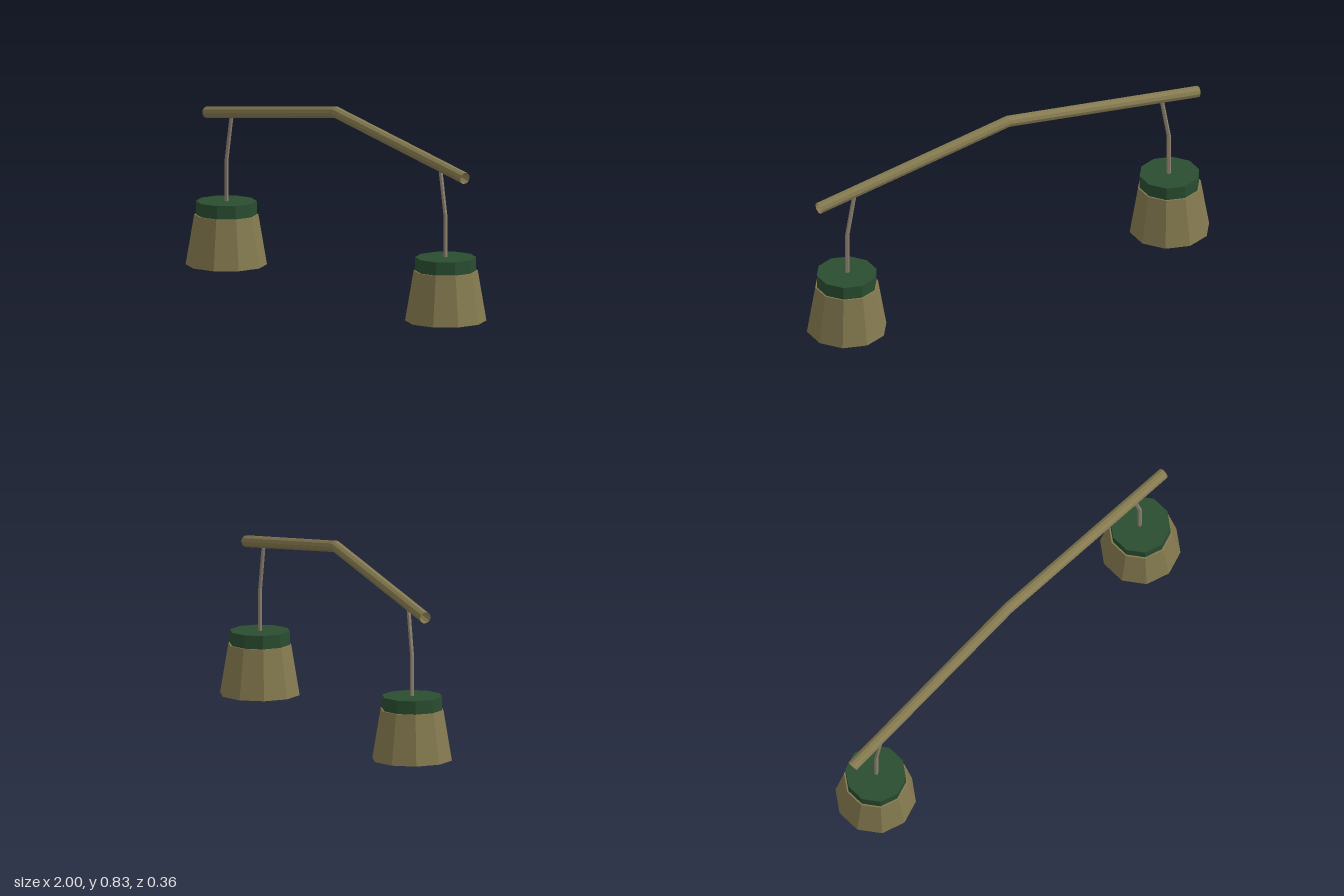
import * as THREE from 'three';

const SIDES = 10;

export function createModel() {
  const flat = (name, color, side = THREE.FrontSide) => {
    const m = new THREE.MeshStandardMaterial({ color, flatShading: true, side });
    m.name = name;
    return m;
  };
  const wood = flat('wood', 0x857a50);
  const beamWood = wood.clone(); // same wood, visible inside the hollow ends
  beamWood.side = THREE.DoubleSide;
  const green = flat('green lid', 0x2a4d30);
  const cord = flat('cord', 0x8f8270);

  const model = new THREE.Group();
  model.name = 'carryingPole';
  const add = (parent, name, geometry, material) => {
    const mesh = new THREE.Mesh(geometry, material);
    mesh.name = name;
    parent.add(mesh);
    return mesh;
  };

  // Hollow pole, bent at the middle, with ends cut square to each arm
  const slope = 0.153;
  const pole = new THREE.CylinderGeometry(0.0262, 0.0262, 1.946, SIDES, 2, true);
  pole.rotateZ(Math.PI / 2);
  const p = pole.attributes.position;
  for (let i = 0; i < p.count; i++) {
    const x = p.getX(i), y = p.getY(i);
    const dir = Math.abs(x) < 0.01 ? 0 : Math.sign(x);
    p.setXYZ(i, x + dir * slope * y, 0.81 + y - slope * Math.abs(x), p.getZ(i));
  }
  pole.computeVertexNormals();
  add(model, 'pole', pole, beamWood);

  // A hanging load at each end
  for (const s of [1, -1]) {
    const load = new THREE.Group();
    load.name = s > 0 ? 'leftLoad' : 'rightLoad';
    model.add(load);
    const cx = s * 0.828;

    // Tapered bucket
    add(load, 'bucket', new THREE.CylinderGeometry(0.142, 0.18, 0.225, SIDES), wood)
      .position.set(cx, 0.1125, 0);

    // Lid
    add(load, 'lid', new THREE.CylinderGeometry(0.135, 0.135, 0.065, SIDES), green)
      .position.set(cx, 0.2525, 0);

    // Cord with one bend, running from the lid up into the pole
    const path = [[0.786, 0.685], [0.825, 0.475], [0.825, 0.27]];
    const rope = new THREE.CylinderGeometry(0.0095, 0.0095, 2, 6, 2);
    const r = rope.attributes.position;
    for (let i = 0; i < r.count; i++) {
      const [px, py] = path[Math.round(1 - r.getY(i))];
      r.setXYZ(i, r.getX(i) + s * px, py, r.getZ(i));
    }
    rope.computeVertexNormals();
    add(load, 'cord', rope, cord);
  }
  return model;
}
